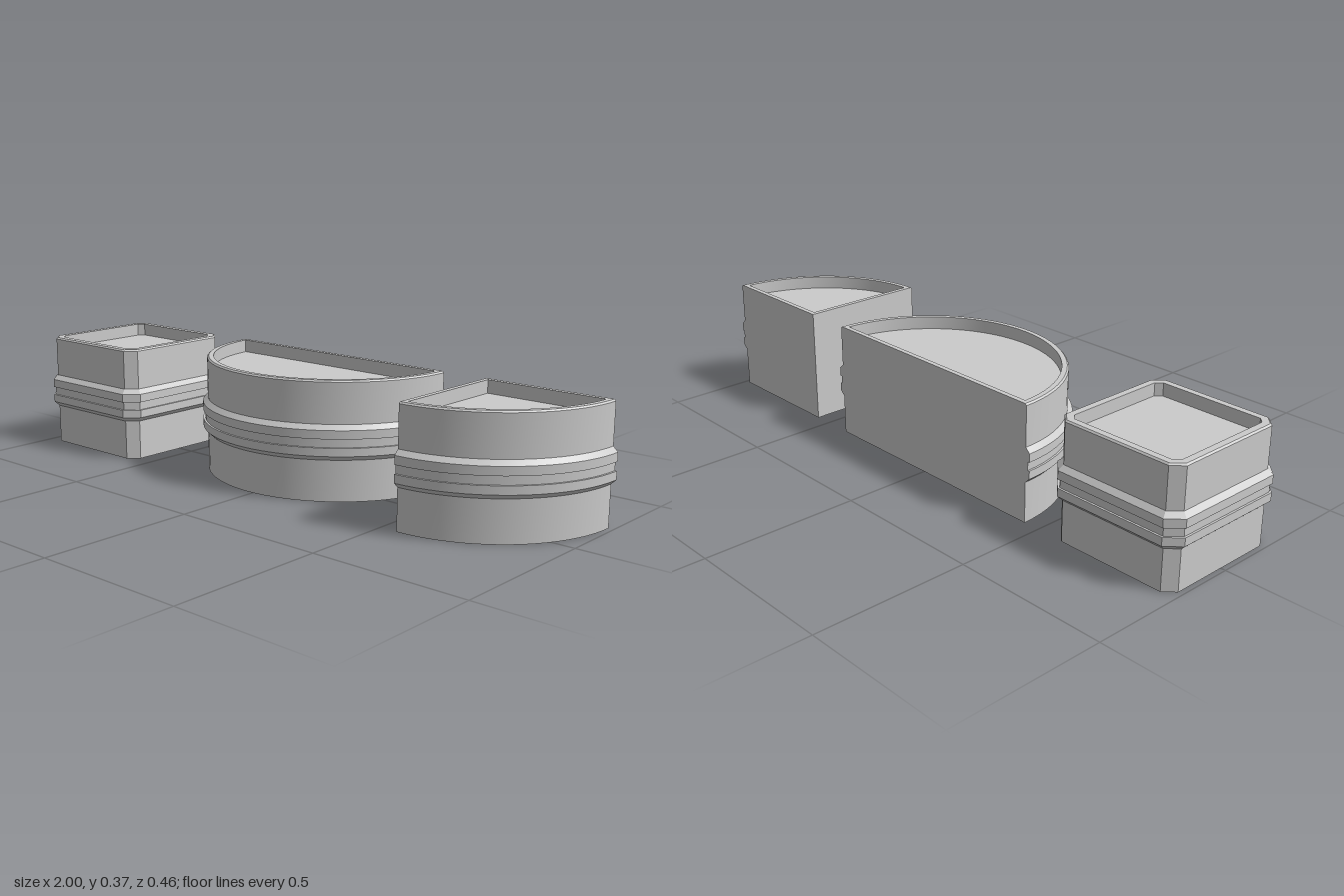
import * as THREE from 'three';
import { toCreasedNormals } from 'three/addons/utils/BufferGeometryUtils.js';

const BACK = -0.213, HALF = 0.212, RADIUS = 0.425, CHAMFER = 0.033;

// Cross-section from the open foot, over the grooved band, to the sunken lid:
// [outward offset, height, inset of the flat sides]
const profile = (rim) => [
  [0, 0, 0], [0, 0.13, 0],
  [0.0155, 0.145, 0], [0.0155, 0.171, 0],
  [0.009, 0.171, 0], [0.009, 0.198, 0],
  [0.0155, 0.198, 0], [0.0155, 0.225, 0],
  [0, 0.24, 0], [0, 0.368, 0],
  [-0.005, 0.373, 0], [-rim, 0.373, 0.016], [-rim, 0.332, 0.016],
];

// Outlines as [x, z] loops
function squareOutline(o) {
  const h = HALF + o, k = h - (CHAMFER + 0.586 * o);
  return [[h, -k], [h, k], [k, h], [-k, h], [-h, k], [-h, -k], [-k, -h], [k, -h]];
}

function arc(r, from, to, n) {
  return Array.from({ length: n + 1 }, (_, i) => {
    const a = from + (to - from) * i / n;
    return [r * Math.cos(a), r * Math.sin(a)];
  });
}

function halfOutline(o, inset) {
  const r = RADIUS + o, a = Math.asin(inset / r);
  return arc(r, a, Math.PI - a, 40);
}

function quarterOutline(o, inset) {
  const r = RADIUS + o, a = Math.asin(inset / r);
  return [...arc(r, a, Math.PI / 2 - a, 20), [inset, inset]];
}

// Loft the outline through the profile and close it with the lid floor
function loft(outline, rim) {
  const pos = [], index = [], rows = profile(rim);
  let n = 0;
  for (const [o, y, inset] of rows) {
    const ring = outline(o, inset);
    n = ring.length;
    for (const [x, z] of ring) pos.push(x, y, z);
  }
  for (let j = 0; j < rows.length - 1; j++) {
    for (let i = 0; i < n; i++) {
      const a = j * n + i, b = j * n + (i + 1) % n;
      index.push(b, a, a + n, b, a + n, b + n);
    }
  }
  const last = (rows.length - 1) * n;
  for (let i = 1; i < n - 1; i++) index.push(last, last + i + 1, last + i);
  const geo = new THREE.BufferGeometry();
  geo.setAttribute('position', new THREE.Float32BufferAttribute(pos, 3));
  geo.setIndex(index);
  return toCreasedNormals(geo, 0.4);
}

export function createModel() {
  const group = new THREE.Group();
  group.name = 'bandedContainers';
  const material = new THREE.MeshStandardMaterial({ color: 0xcccccc, side: THREE.DoubleSide });

  const add = (name, outline, rim, x, z) => {
    const mesh = new THREE.Mesh(loft(outline, rim), material);
    mesh.name = name;
    mesh.position.set(x, 0, z);
    group.add(mesh);
  };

  add('squareContainer', squareOutline, 0.026, -0.772, -0.001);
  add('halfRoundContainer', halfOutline, 0.021, -0.021, BACK);
  add('quarterRoundContainer', quarterOutline, 0.021, 0.558, BACK);
  return group;
}
